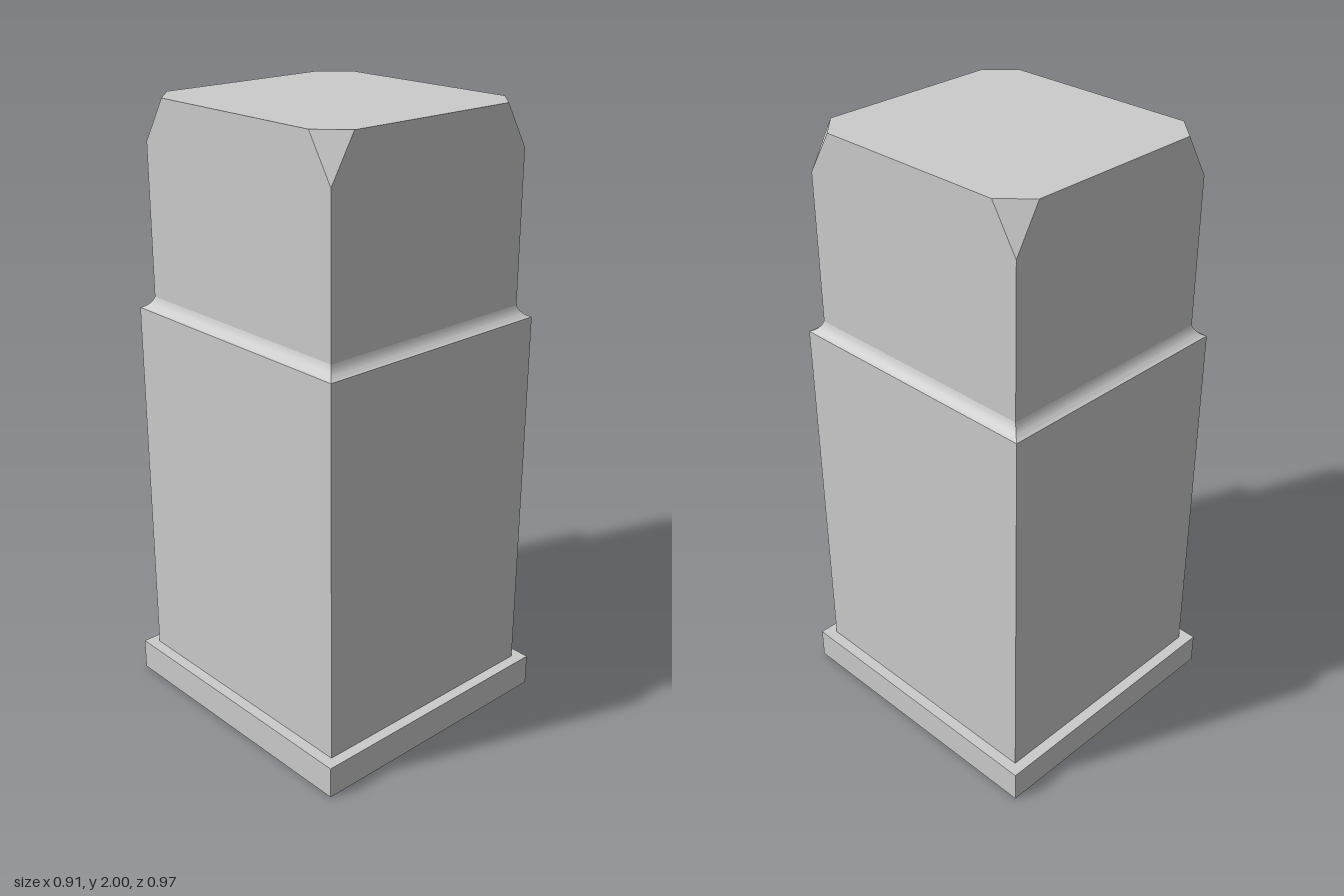
import * as THREE from 'three';
import { toCreasedNormals } from 'three/addons/utils/BufferGeometryUtils.js';

const material = new THREE.MeshStandardMaterial({ color: 0xcccccc });

// Eight points of a rectangle whose corners are cut back by cx along x and cz along z.
function ringPoints([y, x, z, cx = 0, cz = 0]) {
  return [
    [x - cx, z], [x, z - cz],
    [x, -z + cz], [x - cx, -z],
    [-x + cx, -z], [-x, -z + cz],
    [-x, z - cz], [-x + cx, z],
  ].map(([px, pz]) => new THREE.Vector3(px, y, pz));
}

// Skins rings [y, halfX, halfZ, cutX, cutZ]; a ring of zero size closes an end.
function loft(name, rings) {
  const positions = [];
  const addTriangle = (a, b, c) => {
    if (new THREE.Triangle(a, b, c).getArea() < 1e-9) return;
    for (const p of [a, b, c]) positions.push(p.x, p.y, p.z);
  };
  const sections = rings.map(ringPoints);
  for (let r = 0; r < sections.length - 1; r++) {
    const low = sections[r], high = sections[r + 1];
    for (let i = 0; i < 8; i++) {
      const j = (i + 1) % 8;
      addTriangle(low[i], low[j], high[j]);
      addTriangle(low[i], high[j], high[i]);
    }
  }
  const geometry = new THREE.BufferGeometry();
  geometry.setAttribute('position', new THREE.Float32BufferAttribute(positions, 3));
  const mesh = new THREE.Mesh(toCreasedNormals(geometry, 0.4), material);
  mesh.name = name;
  return mesh;
}

export function createModel() {
  const group = new THREE.Group();
  group.name = 'steppedPost';

  const shaft = [0.42, 0.448], head = [0.387, 0.412];
  const shoulderY = 1.335, headY = 1.372;

  // Plinth with closed underside and a ledge around the shaft
  group.add(loft('plinth', [
    [0, 0, 0], [0, 0.457, 0.485], [0.105, 0.457, 0.485], [0.105, ...shaft],
  ]));

  // Straight lower shaft
  group.add(loft('shaft', [[0.105, ...shaft], [shoulderY, ...shaft]]));

  // Concave shoulder sweeping in to the narrower head
  const cove = new THREE.QuadraticBezierCurve(
    new THREE.Vector2(1, shoulderY),
    new THREE.Vector2(0.24, 1.345),
    new THREE.Vector2(0, headY),
  );
  group.add(loft('shoulder', cove.getPoints(8).map((p) => [
    p.y,
    THREE.MathUtils.lerp(head[0], shaft[0], p.x),
    THREE.MathUtils.lerp(head[1], shaft[1], p.x),
  ])));

  // Head with its four top corners cut off at an angle
  group.add(loft('head', [
    [headY, ...head], [1.86, ...head], [2, ...head, 0.083, 0.087], [2, 0, 0],
  ]));

  return group;
}
